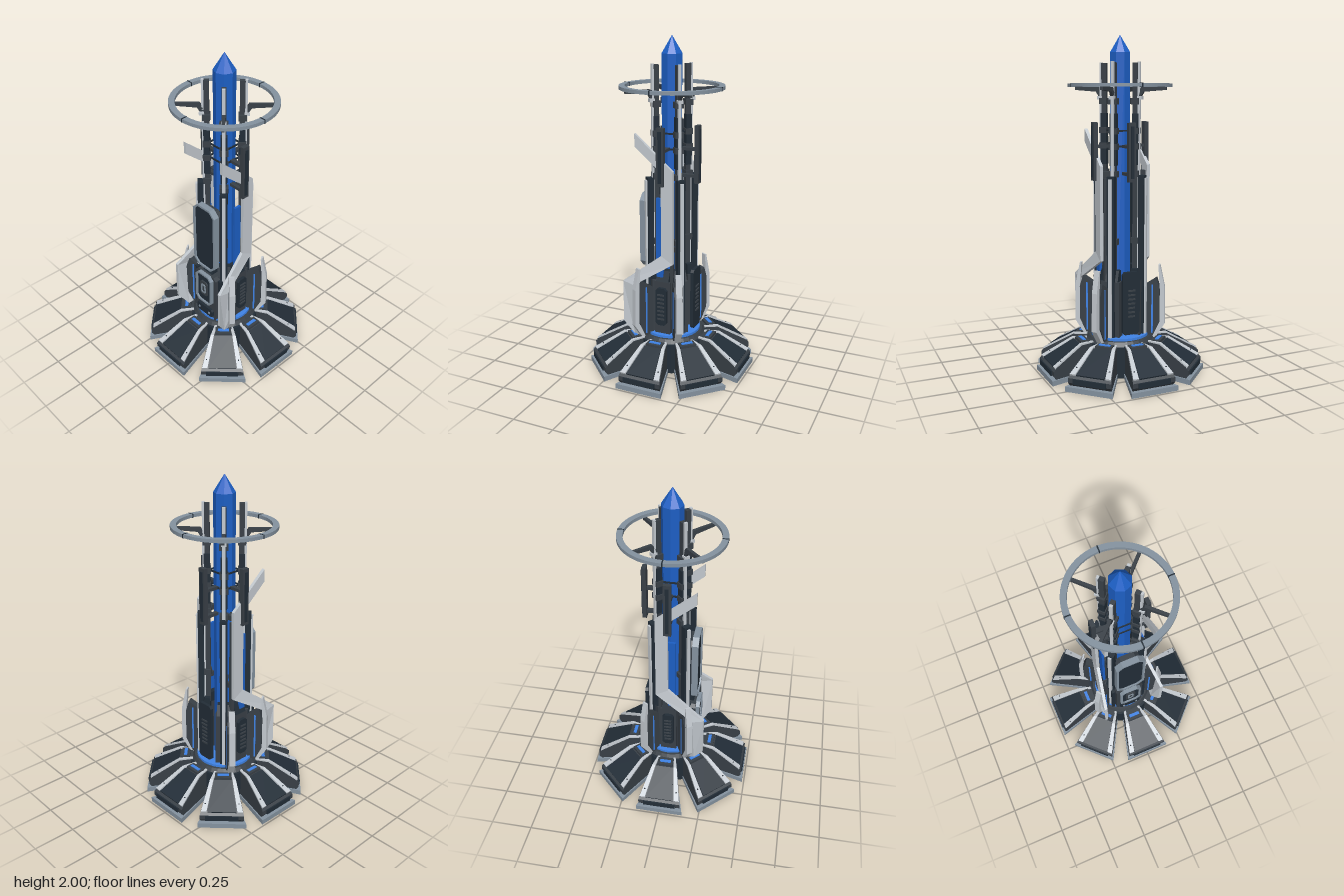
import * as THREE from 'three';

const mat = (color) => new THREE.MeshStandardMaterial({ color, flatShading: true, side: THREE.DoubleSide });
const BLUE = mat(0x1d5fc4), GLOW = mat(0x3f83e6), NAVY = mat(0x222d37), DARK = mat(0x394047),
  GREY = mat(0x84929f), LIGHT = mat(0xc3c9cf);

export function createModel() {
  const model = new THREE.Group();

  const add = (name, geo, material, parent = model) => {
    const m = new THREE.Mesh(geo, material);
    m.name = name;
    parent.add(m);
    return m;
  };
  const box = (name, w, h, d, x, y, z, material, parent) => {
    const m = add(name, new THREE.BoxGeometry(w, h, d), material, parent);
    m.position.set(x, y, z);
    return m;
  };
  // group whose +x axis points outward at an azimuth (degrees, from +x towards +z)
  const arm = (name, deg) => {
    const g = new THREE.Group();
    g.name = name;
    g.rotation.y = -THREE.MathUtils.degToRad(deg);
    model.add(g);
    return g;
  };
  const poly = (pts) => new THREE.Shape(pts.map(([x, y]) => new THREE.Vector2(x, y)));
  const extrude = (shape, depth) => new THREE.ExtrudeGeometry(shape, { depth, bevelEnabled: false, curveSegments: 16 });
  // radial profile (r, y) of constant thickness, centred on the arm
  const slab = (pts, t) => extrude(poly(pts), t).translate(0, 0, -t / 2);
  // radial profile whose width grows with the radius, between the width fractions a and b
  const wedge = (pts, a, b) => {
    const g = extrude(poly(pts), 1), p = g.attributes.position;
    for (let i = 0; i < p.count; i++) {
      const half = 0.006 + 0.286 * p.getX(i);
      p.setZ(i, half * (a + (b - a) * p.getZ(i)));
    }
    g.computeVertexNormals();
    return g;
  };
  // chamfered rectangle facing +z, optionally cut out to a frame
  const corners = (w, h, c) => [[-w + c, -h], [w - c, -h], [w, -h + c], [w, h - c], [w - c, h], [-w + c, h], [-w, h - c], [-w, -h + c]];
  const plate = (name, w, h, c, d, x, y, z, material, rim = 0, parent = model) => {
    const s = poly(corners(w / 2, h / 2, c));
    if (rim) s.holes.push(poly(corners(w / 2 - rim, h / 2 - rim, c * 0.8).reverse()));
    const m = add(name, extrude(s, d), material, parent);
    m.position.set(x, y, z);
    return m;
  };
  const prism = (name, rt, rb, y0, y1, sides, material) => {
    const m = add(name, new THREE.CylinderGeometry(rt, rb, y1 - y0, sides), material);
    m.position.y = (y0 + y1) / 2;
    return m;
  };

  // base petals
  for (let k = 0; k < 8; k++) {
    const g = arm('basePetal', k * 45);
    add('footPlate', wedge([[0.15, 0], [0.488, 0], [0.488, 0.03], [0.15, 0.03]], -1, 1), GREY, g);
    add('petalBody', wedge([[0.1, 0.03], [0.46, 0.03], [0.475, 0.05], [0.475, 0.078], [0.455, 0.097],
      [0.28, 0.195], [0.1, 0.195]], -0.93, 0.93), DARK, g);
    add('petalPanel', wedge([[0.29, 0.18], [0.46, 0.085], [0.465, 0.098], [0.285, 0.2]], -0.62, 0.62), NAVY, g);
    for (const s of [-1, 1]) {
      add('petalStripe', wedge([[0.2, 0.19], [0.28, 0.19], [0.46, 0.085], [0.466, 0.1], [0.285, 0.204], [0.2, 0.204]],
        s * 0.66, s * 0.9), LIGHT, g);
      box('petalBolt', 0.008, 0.012, 0.008, 0.42, 0.122, s * 0.1, DARK, g);
    }
    box('petalBumper', 0.014, 0.03, 0.2, 0.476, 0.062, 0, NAVY, g);
    box('lampHousing', 0.055, 0.02, 0.1, 0.248, 0.2, 0, DARK, g);
    box('lamp', 0.02, 0.006, 0.07, 0.248, 0.212, 0, GLOW, g);
  }
  prism('baseDisc', 0.22, 0.22, 0.004, 0.19, 32, NAVY);
  prism('baseCollar', 0.19, 0.205, 0.19, 0.215, 32, DARK);
  prism('blueCollar', 0.175, 0.175, 0.215, 0.23, 32, GLOW);

  // central crystal
  prism('crystal', 0.063, 0.063, 0.2, 1.9, 8, BLUE);
  prism('crystalTip', 0, 0.063, 1.9, 2, 8, BLUE);

  // four rail bundles around the crystal, carrying the ring
  for (let k = 0; k < 4; k++) {
    const g = arm('railBundle', 45 + k * 90);
    box('rail', 0.03, 1.62, 0.026, 0.098, 1.03, 0, DARK, g);
    box('railTrim', 0.014, 1.62, 0.018, 0.119, 1.035, 0, LIGHT, g);
    box('railSleeve', 0.035, 0.3, 0.038, 0.1, 1.4, 0, NAVY, g);
    for (const y of [0.8, 1.2, 1.36, 1.45, 1.62]) box('railClamp', 0.045, 0.035, 0.05, 0.1, y, 0, DARK, g);
    box('outerPost', 0.035, 0.98, 0.045, 0.14, 0.7, 0, NAVY, g);
    box('outerPostTrim', 0.012, 0.95, 0.02, 0.163, 0.7, 0, LIGHT, g);
    add('ringStrut', slab([[0.09, 1.58], [0.15, 1.675], [0.285, 1.685], [0.285, 1.702], [0.135, 1.702], [0.09, 1.63]], 0.018), DARK, g);
    box('ringPad', 0.03, 0.02, 0.03, 0.125, 1.64, 0, LIGHT, g);
  }

  // halo ring
  const halo = new THREE.Shape().absarc(0, 0, 0.305, 0, Math.PI * 2);
  halo.holes.push(new THREE.Path().absarc(0, 0, 0.27, 0, Math.PI * 2, true));
  const ringGeo = new THREE.ExtrudeGeometry(halo, { depth: 0.02, bevelEnabled: false, curveSegments: 48 });
  add('haloRing', ringGeo.rotateX(-Math.PI / 2).translate(0, 1.702, 0), GREY);
  for (let k = 0; k < 4; k++) box('ringJoint', 0.037, 0.023, 0.007, 0.288, 1.712, 0, NAVY, arm('ringSegment', k * 90));

  // floating side and back vanes
  for (const deg of [0, 180, 270]) {
    const g = arm('vane', deg);
    box('vaneBlade', 0.026, 0.34, 0.045, 0.163, 1.33, 0, DARK, g);
    box('vaneTrim', 0.006, 0.3, 0.02, 0.178, 1.33, 0, NAVY, g);
    for (const y of [1.2, 1.36]) box('vaneArm', 0.1, 0.018, 0.026, 0.11, y, 0, DARK, g);
  }

  // crystal fasteners on the open faces
  for (const deg of [0, 90, 180, 270]) {
    const g = arm('crystalBand', deg);
    for (const y of [1.36, 1.45]) box('band', 0.006, 0.01, 0.13, 0.064, y, 0, NAVY, g);
  }

  // cranked side armour: lower leg is pushed outward
  const armour = [[0.165, 1.455], [0.165, 1.38], [0, 1.24], [0, 0.735], [0.23, 0.56], [0.23, 0.3], [0.17, 0.21],
    [0.13, 0.21], [0.16, 0.3], [0.16, 0.54], [-0.075, 0.69], [-0.075, 1.25]];
  for (const s of [-1, 1]) {
    const geo = extrude(poly(armour), 0.02).rotateY(-Math.PI / 2).translate(s * 0.15 + 0.01, 0, 0);
    const p = geo.attributes.position;
    for (let i = 0; i < p.count; i++) {
      const y = p.getY(i);
      if (y < 0.6) p.setX(i, p.getX(i) + s * (y > 0.25 ? 0.045 : 0.02));
    }
    geo.computeVertexNormals();
    add('sideArmour', geo, LIGHT);
    box('blueSideStrip', 0.015, 0.8, 0.045, s * 0.128, 0.68, 0.02, BLUE);
    box('sideBracket', 0.06, 0.03, 0.05, s * 0.11, 1.2, -0.035, DARK);
    box('sideBracket', 0.06, 0.03, 0.05, s * 0.11, 0.76, -0.035, DARK);
    box('sidePipe', 0.02, 0.85, 0.02, s * 0.12, 0.75, -0.055, DARK);
  }

  // lower housing and its curved fins
  for (const deg of [0, 45, 90, 135, 180, 225, 315]) {
    const g = arm('housing', deg);
    box('housingBlock', 0.06, 0.35, 0.1, 0.115, 0.39, 0, DARK, g);
    add('housingShoulder', slab([[0.085, 0.565], [0.145, 0.565], [0.12, 0.63], [0.085, 0.63]], 0.08), NAVY, g);
  }
  for (const deg of [33, 147, 213, 327]) {
    const g = arm('fin', deg);
    add('finBlade', slab([[0.245, 0.65], [0.272, 0.52], [0.276, 0.29], [0.225, 0.21], [0.2, 0.21],
      [0.245, 0.3], [0.245, 0.5], [0.235, 0.65]], 0.035), LIGHT, g);
    add('finBacking', slab([[0.225, 0.57], [0.245, 0.5], [0.245, 0.3], [0.205, 0.215], [0.15, 0.215], [0.15, 0.52]], 0.05), DARK, g);
    box('finGlow', 0.01, 0.3, 0.054, 0.2, 0.38, 0, GLOW, g);
  }

  // louvred panels on the sides and back
  for (const deg of [0, 180, 270]) {
    const back = deg === 270, g = arm('ventPanel', deg);
    const h = back ? 0.38 : 0.24, cy = back ? 0.44 : 0.41, r = 0.145;
    plate('ventPlate', back ? 0.11 : 0.07, h, 0.015, 0.02, r, cy, 0, NAVY, 0, g).rotation.y = Math.PI / 2;
    for (let i = 0; i < 7; i++) box('louvre', 0.008, 0.01, 0.045, r + 0.022, cy + (i - 3) * 0.026, 0, DARK, g);
  }

  // tall front shield
  plate('shieldBack', 0.15, 0.4, 0.03, 0.05, 0, 0.85, 0.09, DARK);
  plate('shieldPanel', 0.17, 0.44, 0.035, 0.025, 0, 0.85, 0.135, NAVY);
  plate('shieldFrame', 0.185, 0.46, 0.04, 0.038, 0, 0.85, 0.132, GREY, 0.013);

  // lower front hatch
  plate('hatchBody', 0.18, 0.36, 0.02, 0.06, 0, 0.39, 0.1, DARK);
  plate('hatchPanel', 0.13, 0.22, 0.022, 0.014, 0, 0.455, 0.158, NAVY);
  plate('hatchFrame', 0.14, 0.235, 0.025, 0.025, 0, 0.455, 0.158, GREY, 0.012);
  plate('hatchInset', 0.065, 0.11, 0.012, 0.01, 0, 0.455, 0.17, DARK);
  plate('hatchInsetFrame', 0.04, 0.07, 0.008, 0.006, 0, 0.455, 0.178, GREY, 0.01);
  plate('hatchStep', 0.14, 0.06, 0.012, 0.02, 0, 0.27, 0.155, NAVY);
  for (const s of [-1, 1]) {
    box('stepBolt', 0.012, 0.012, 0.008, s * 0.045, 0.27, 0.177, GREY);
    box('hatchRail', 0.022, 0.33, 0.03, s * 0.105, 0.39, 0.13, NAVY);
  }

  return model;
}
